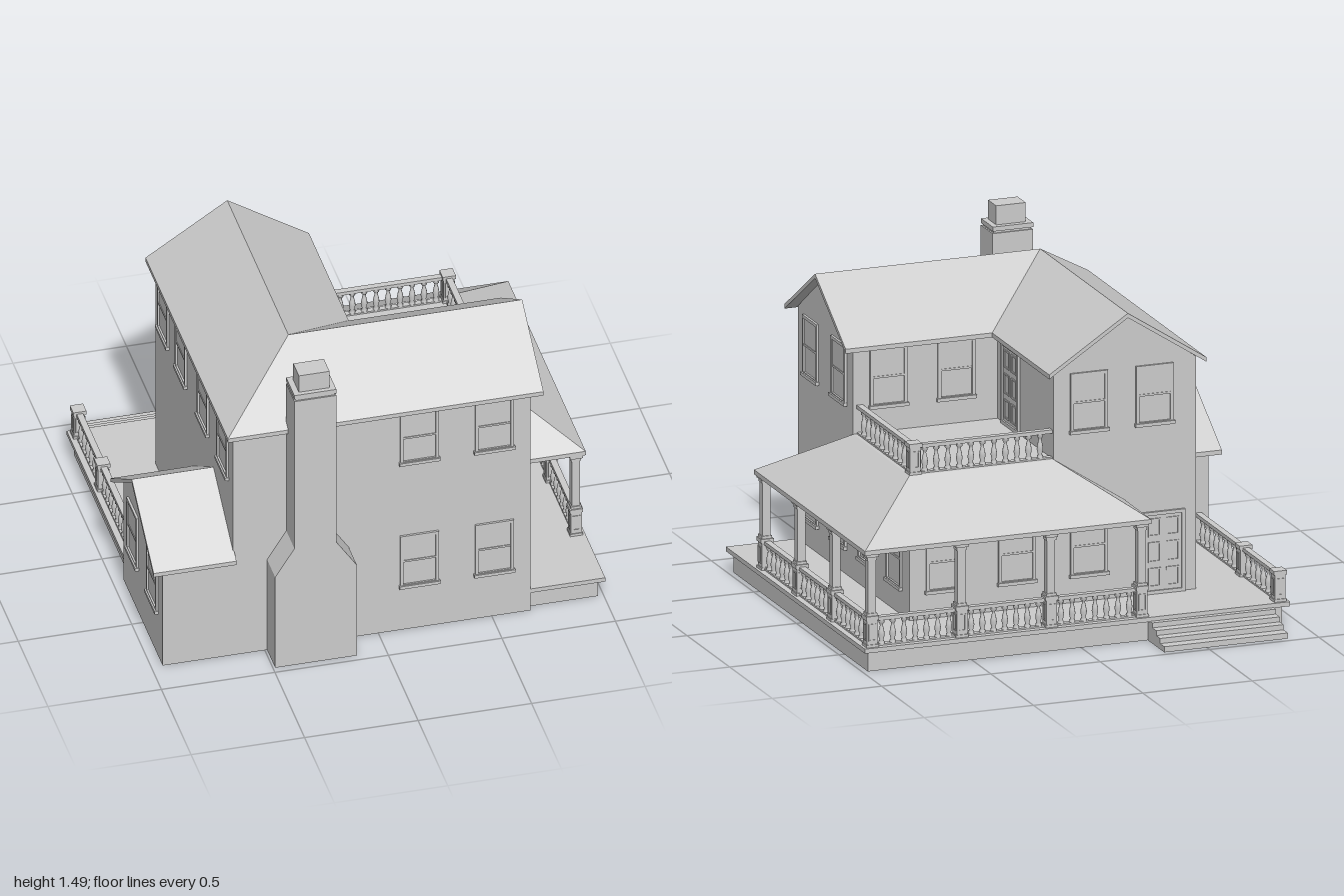
import * as THREE from 'three';

const mat = new THREE.MeshStandardMaterial({ color: 0xcccccc });

function add(parent, name, geo, x = 0, y = 0, z = 0) {
  const m = new THREE.Mesh(geo, mat);
  m.name = name;
  m.position.set(x, y, z);
  parent.add(m);
  return m;
}

// Box given by its min / max extents
function block(parent, name, x0, x1, y0, y1, z0, z1) {
  return add(parent, name, new THREE.BoxGeometry(x1 - x0, y1 - y0, z1 - z0),
    (x0 + x1) / 2, (y0 + y1) / 2, (z0 + z1) / 2);
}

function polyShape(pts) {
  return new THREE.Shape(pts.map(p => new THREE.Vector2(p[0], p[1])));
}

// Closed solid between two matching rings of corners (top counter-clockwise from above)
function loft(top, bottom) {
  const v = [], n = top.length;
  for (let i = 1; i < n - 1; i++) {
    v.push(...top[0], ...top[i], ...top[i + 1]);
    v.push(...bottom[0], ...bottom[i + 1], ...bottom[i]);
  }
  for (let i = 0; i < n; i++) {
    const j = (i + 1) % n;
    v.push(...bottom[i], ...bottom[j], ...top[j], ...bottom[i], ...top[j], ...top[i]);
  }
  const g = new THREE.BufferGeometry();
  g.setAttribute('position', new THREE.Float32BufferAttribute(v, 3));
  g.computeVertexNormals();
  return g;
}

// Roof plane with vertical thickness
function roofSlab(parent, name, pts, t = 0.02) {
  let area = 0;
  pts.forEach((p, i) => {
    const q = pts[(i + 1) % pts.length];
    area += p[2] * q[0] - q[2] * p[0];
  });
  const top = area > 0 ? pts : [...pts].reverse();
  add(parent, name, loft(top, top.map(p => [p[0], p[1] - t, p[2]])));
}

// Gabled wall body, extruded along +z
function gableBody(half, eave, ridge, length) {
  const s = polyShape([[-half, 0], [half, 0], [half, eave], [0, ridge], [-half, eave]]);
  return new THREE.ExtrudeGeometry(s, { depth: length, bevelEnabled: false });
}

function frameGeo(w, h, b, d) {
  const s = polyShape([[-w / 2, 0], [w / 2, 0], [w / 2, h], [-w / 2, h]]);
  s.holes.push(polyShape([[-w / 2 + b, b], [-w / 2 + b, h - b], [w / 2 - b, h - b], [w / 2 - b, b]]));
  return new THREE.ExtrudeGeometry(s, { depth: d, bevelEnabled: false });
}

function opening(parent, name, x, y, z, rot) {
  const g = new THREE.Group();
  g.name = name;
  g.position.set(x, y, z);
  g.rotation.y = rot;
  parent.add(g);
  return g;
}

// Sash window facing its local +z
function makeWindow(parent, x, y, z, rot) {
  const g = opening(parent, 'window', x, y, z, rot), w = 0.17, h = 0.265;
  add(g, 'windowFrame', frameGeo(w, h, 0.014, 0.01));
  block(g, 'lowerPane', -0.075, 0.075, 0.01, 0.135, -0.004, 0.002);
  block(g, 'upperPane', -0.075, 0.075, 0.13, 0.255, -0.004, 0.005);
  block(g, 'meetingRail', -0.073, 0.073, 0.129, 0.138, 0, 0.008);
  block(g, 'windowSill', -0.09, 0.09, -0.005, 0.01, 0, 0.017);
}

// Six-panel door facing its local +z
function makeDoor(parent, x, y, z, rot) {
  const g = opening(parent, 'door', x, y, z, rot);
  add(g, 'doorFrame', frameGeo(0.195, 0.365, 0.015, 0.012));
  block(g, 'doorLeaf', -0.085, 0.085, 0.005, 0.355, -0.004, 0.004);
  for (const px of [-0.042, 0.042])
    for (const [py, ph] of [[0.03, 0.085], [0.14, 0.09], [0.255, 0.08]])
      add(g, 'doorPanel', frameGeo(0.058, ph, 0.007, 0.005), px, py, 0.004);
}

// Square pedestal with panels and cap; optional column up to the porch roof
function makePost(parent, x, y, z, column) {
  const g = opening(parent, column ? 'porchPost' : 'railPost', x, y, z, 0);
  block(g, 'pedestal', -0.024, 0.024, 0, 0.125, -0.024, 0.024);
  block(g, 'pedestalFoot', -0.028, 0.028, 0, 0.012, -0.028, 0.028);
  block(g, 'pedestalCap', -0.029, 0.029, 0.12, 0.138, -0.029, 0.029);
  for (let i = 0; i < 4; i++) {
    const p = opening(g, 'pedestalPanel', 0, 0.028, 0, i * Math.PI / 2);
    add(p, 'panelTrim', frameGeo(0.034, 0.075, 0.005, 0.003), 0, 0, 0.024);
  }
  if (!column) return;
  block(g, 'column', -0.018, 0.018, 0.13, 0.42, -0.018, 0.018);
  block(g, 'columnBase', -0.023, 0.023, 0.136, 0.15, -0.023, 0.023);
  block(g, 'columnNeck', -0.022, 0.022, 0.385, 0.4, -0.022, 0.022);
  block(g, 'columnCapital', -0.028, 0.028, 0.4, 0.418, -0.028, 0.028);
}

const balusterGeo = new THREE.LatheGeometry(
  [[0.014, 0], [0.014, 0.014], [0.009, 0.02], [0.015, 0.045], [0.012, 0.065], [0.007, 0.085],
    [0.008, 0.095], [0.014, 0.1], [0.014, 0.114]].map(p => new THREE.Vector2(p[0], p[1])), 8);

// Straight railing between two points, on a floor at height y
function makeRail(parent, x0, z0, x1, z1, y) {
  const len = Math.hypot(x1 - x0, z1 - z0);
  const g = opening(parent, 'railing', x0, y, z0, Math.atan2(-(z1 - z0), x1 - x0));
  block(g, 'handRail', 0, len, 0.112, 0.128, -0.014, 0.014);
  block(g, 'bottomRail', 0, len, 0, 0.007, -0.013, 0.013);
  const n = Math.round((len - 0.05) / 0.055);
  for (let i = 0; i < n; i++) add(g, 'baluster', balusterGeo, 0.025 + (len - 0.05) * (i + 0.5) / n);
}

export function createModel() {
  const house = new THREE.Group();
  house.name = 'house';
  const R = Math.PI / 2;

  // Walls: full ground floor, two crossing upper wings, side extension
  block(house, 'groundFloor', -0.64, 0.67, 0, 0.74, -0.48, 0.83);
  add(house, 'backWing', gableBody(0.325, 1.145, 1.367, 1.0), -0.315, 0, -0.48);
  add(house, 'frontWing', gableBody(0.325, 1.145, 1.367, 0.98), -0.31, 0, 0.505).rotation.y = R;
  block(house, 'cornerWalls', -0.64, 0, 0, 1.145, 0.18, 0.83);
  add(house, 'sideExtension', gableBody(0.33, 0.52, 0.737, 0.35), -0.95, 0, 0.5).rotation.y = R;

  // Main roof: front hip corner, back valley, two open gables
  const H = 1.385, E = 1.15;
  const apex = [-0.31, H, 0.5], hip = [-0.67, E, 0.86], valley = [0.05, E, 0.14];
  roofSlab(house, 'frontRoof', [hip, [0.72, E, 0.86], [0.72, H, 0.5], apex]);
  roofSlab(house, 'innerRoof', [valley, apex, [0.72, H, 0.5], [0.72, E, 0.14]]);
  roofSlab(house, 'wingRoof', [valley, [0.05, E, -0.53], [-0.31, H, -0.53], apex]);
  roofSlab(house, 'sideRoof', [hip, apex, [-0.31, H, -0.53], [-0.67, E, -0.53]]);

  // Extension roof
  for (const z of [0.14, 0.87])
    roofSlab(house, 'extensionRoof', [[-1, 0.755, 0.5], [-0.635, 0.755, 0.5], [-0.635, 0.515, z], [-1, 0.515, z]]);

  // Chimney with shoulders, cap and flue
  const stack = polyShape([[-0.49, 0], [-0.13, 0], [-0.13, 0.47], [-0.22, 0.605], [-0.22, 1.37],
    [-0.405, 1.37], [-0.405, 0.605], [-0.49, 0.47]]);
  add(house, 'chimney', new THREE.ExtrudeGeometry(stack, { depth: 0.14, bevelEnabled: false }), 0, 0, 0.827);
  block(house, 'chimneyCap', -0.398, -0.227, 1.37, 1.385, 0.834, 0.96);
  block(house, 'chimneyCap', -0.405, -0.22, 1.38, 1.4, 0.825, 0.965);
  block(house, 'chimneyFlue', -0.38, -0.245, 1.395, 1.485, 0.85, 0.945);

  // Windows on both floors
  for (const y of [0.225, 0.865]) {
    for (const x of [0.18, 0.51]) makeWindow(house, x, y, 0.83, 0);
    for (const z of [0.67, 0.34]) makeWindow(house, 0.67, y, z, R);
  }
  for (const z of [0.02, -0.31]) makeWindow(house, 0.67, 0.225, z, R);
  for (const x of [0.51, 0.18, -0.15]) makeWindow(house, x, 0.225, -0.48, 2 * R);
  for (const x of [0.51, 0.2]) makeWindow(house, x, 0.865, 0.18, 2 * R);
  for (const x of [-0.15, -0.45]) makeWindow(house, x, 0.865, -0.48, 2 * R);
  for (const z of [-0.33, -0.03, 0.34, 0.67]) makeWindow(house, -0.64, 0.865, z, -R);
  for (const z of [0.34, 0.67]) makeWindow(house, -0.95, 0.225, z, -R);

  // Entrance and balcony doors
  makeDoor(house, -0.49, 0.11, -0.48, 2 * R);
  makeDoor(house, 0.01, 0.755, 0.015, R);

  // Porch deck and steps
  block(house, 'deckBase', -0.92, 0.975, 0, 0.09, -0.775, 0.8);
  block(house, 'deckFloor', -0.945, 1, 0.09, 0.11, -0.805, 0.829);
  [[0.092, 0.83], [0.07, 0.875], [0.048, 0.92], [0.025, 0.97]].forEach(([h, z]) =>
    block(house, 'step', -0.87, -0.305, 0, h, -z, -0.76));

  // Hipped porch roof with flat balcony top
  const ring = (x0, x1, z0, z1, y) => [[x0, y, z1], [x1, y, z1], [x1, y, z0], [x0, y, z0]];
  block(house, 'porchEave', -0.31, 1, 0.525, 0.545, -0.805, 0.5);
  add(house, 'porchRoof', loft(ring(0.01, 0.67, -0.48, 0.18, 0.755), ring(-0.31, 1, -0.805, 0.5, 0.544)));

  // Porch posts and railings
  const P = 0.96, Q = -0.765;
  for (const z of [0.47, 0.06, -0.35, Q]) makePost(house, P, 0.11, z, true);
  for (const x of [0.55, 0.14, -0.275]) makePost(house, x, 0.11, Q, true);
  for (const z of [Q, -0.36]) makePost(house, -0.905, 0.11, z, false);
  const zs = [0.47, 0.06, -0.35, Q], xs = [P, 0.55, 0.14, -0.275];
  for (let i = 0; i < 3; i++) {
    makeRail(house, P, zs[i], P, zs[i + 1], 0.11);
    makeRail(house, xs[i], Q, xs[i + 1], Q, 0.11);
  }
  makeRail(house, -0.905, Q, -0.905, -0.36, 0.11);
  makeRail(house, -0.905, -0.36, -0.905, 0.17, 0.11);

  // Balcony railing
  makePost(house, 0.64, 0.755, -0.45, false);
  makeRail(house, 0.01, -0.45, 0.64, -0.45, 0.755);
  makeRail(house, 0.64, -0.45, 0.64, 0.18, 0.755);
  return house;
}
